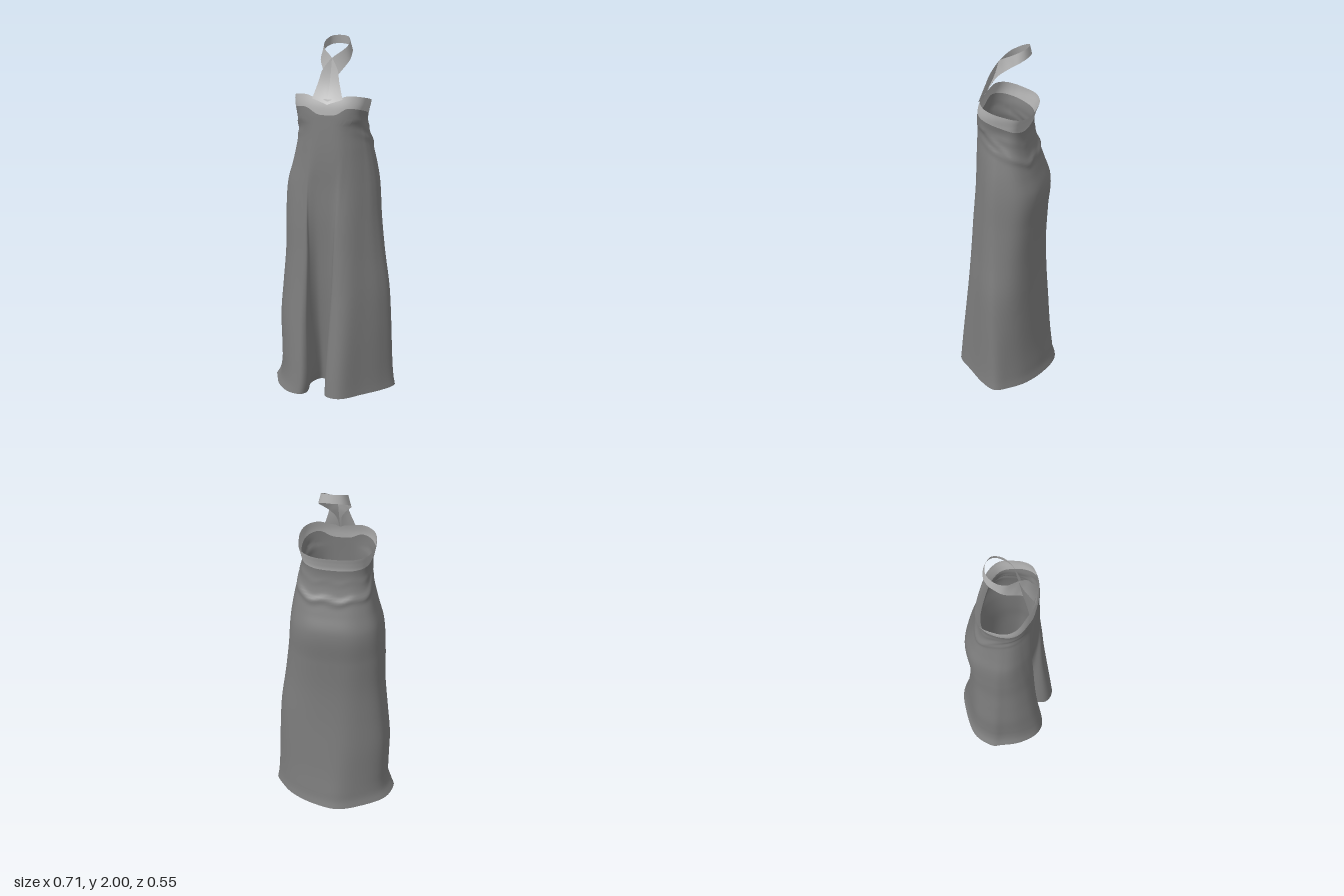
import * as THREE from 'three';

// y, right half-width, left half-width, front depth, back depth, pleat amount
const LEVELS = [
  [0, .355, .355, .272, .27, 1], [.04, .332, .348, .27, .258, .97], [.1, .319, .342, .267, .25, .93],
  [.2, .318, .337, .261, .237, .86], [.4, .32, .33, .247, .219, .7], [.6, .302, .318, .232, .204, .54],
  [.8, .284, .29, .219, .198, .41], [1, .28, .267, .206, .206, .28], [1.2, .265, .25, .185, .217, .15],
  [1.3, .237, .235, .176, .184, .08], [1.4, .212, .214, .168, .15, .03], [1.5, .194, .19, .162, .125, .01],
  [1.56, .198, .182, .158, .125, 0], [1.6, .206, .188, .156, .137, 0], [1.65, .215, .198, .15, .155, 0],
  [1.72, .215, .2, .13, .158, 0],
];
// Hem outline as x, z, with a deep pleat at the front
const HEM = [
  [-.355, -.01], [-.315, -.125], [-.19, -.217], [-.05, -.273], [.1, -.245], [.23, -.18], [.31, -.1], [.355, -.02],
  [.305, .07], [.21, .17], [.13, .252], [.07, .27], [.02, .25], [0, .2], [0, .1], [-.02, .04],
  [-.08, .02], [-.115, .1], [-.1, .19], [-.105, .24], [-.14, .265], [-.215, .242], [-.29, .16], [-.335, .06],
];
const profile = new THREE.CubicInterpolant(LEVELS.map(l => l[0]), LEVELS.flatMap(l => l.slice(1)), 5);
const closed = pts => new THREE.CatmullRomCurve3(pts, true, 'catmullrom', 0.5);
const power = (v, p) => Math.sign(v) * Math.abs(v) ** p;

// Unit outlines: a rounded oval for the body, and the pleated hem
const ovalCurve = closed(HEM.map((_, i) => {
  const a = i <= 7 ? Math.PI * (1 + i / 7) : Math.PI * (i - 7) / 17;
  return new THREE.Vector3(power(Math.cos(a), .72), 0, power(Math.sin(a), .72));
}));
const hemCurve = closed(HEM.map(([x, z]) => new THREE.Vector3(x / .355, 0, z / .27)));

// Heights of the seam under the band and of the neckline
const dip = o => o.z > 0 ? Math.exp(-((o.x / .45) ** 4)) : 0;
const seamY = o => 1.598 + .046 * o.z - .045 * dip(o);
const topY = o => 1.672 + .036 * o.z - .024 * dip(o);

// Point on the cloth at outline position u and height y
function clothPoint(u, y, o) {
  const h = hemCurve.getPoint(u);
  const [right, left, front, back, pleat] = profile.evaluate(y);
  const amount = Math.max(0, pleat);
  // The pleat closes up sideways sooner than it deepens
  const px = THREE.MathUtils.lerp(o.x, h.x, o.z > 0 ? amount ** .38 : amount);
  const pz = THREE.MathUtils.lerp(o.z, h.z, amount);
  // Gathered folds slanting from the bust down to the small of the back
  let swell = 0;
  if (o.z < .85) {
    for (const [base, slope, size] of [[1.49, .11, .03], [1.45, .07, .025], [1.53, .05, .015]]) {
      const line = base + slope * o.z + .008 * Math.sin(o.x * 9);
      swell += size * Math.exp(-(((y - line) / .018) ** 2));
    }
    swell *= Math.min(1, (.85 - o.z) * 2);
  }
  return [px * (px < 0 ? right : left) * (1 + swell), y, pz * (pz < 0 ? back : front) * (1 + swell)];
}

// Grid surface from rows of points
function surface(rows, cols, point, wrap) {
  const pos = [], index = [], stride = wrap ? cols : cols + 1;
  for (let j = 0; j <= rows; j++)
    for (let i = 0; i < stride; i++) pos.push(...point(i / cols, j / rows));
  for (let j = 0; j < rows; j++)
    for (let i = 0; i < cols; i++) {
      const n = (i + 1) % stride, a = j * stride, b = a + stride;
      index.push(a + i, b + i, a + n, a + n, b + i, b + n);
    }
  const g = new THREE.BufferGeometry();
  g.setAttribute('position', new THREE.Float32BufferAttribute(pos, 3));
  g.setIndex(index);
  g.computeVertexNormals();
  return g;
}

function tube(rows, low, high) {
  return surface(rows, 168, (u, v) => {
    const o = ovalCurve.getPoint(u);
    return clothPoint(u, THREE.MathUtils.lerp(low(o), high(o), v), o);
  }, true);
}

// Halter strap: lower and upper edges of one half, from the left base to the nape
const STRAP = [
  [[-.005, 1.655, .153], [.085, 1.685, .142]],
  [[-.012, 1.745, .105], [.058, 1.775, .112]],
  [[-.035, 1.80, .068], [.042, 1.835, .09]],
  [[-.058, 1.835, .04], [-.001, 1.895, .055]],
  [[-.082, 1.875, -.003], [-.053, 1.935, .013]],
  [[-.084, 1.905, -.045], [-.07, 1.96, -.032]],
  [[-.076, 1.928, -.083], [-.064, 1.98, -.073]],
  [[-.048, 1.945, -.112], [-.043, 1.993, -.102]],
  [[0, 1.95, -.123], [0, 1.997, -.113]],
];
function strapGeometry() {
  const edges = [0, 1].map(k => {
    const half = STRAP.map(r => new THREE.Vector3(...r[k]));
    const mirrored = half.slice(0, -1).reverse().map(p => new THREE.Vector3(-p.x, p.y, p.z));
    return new THREE.CatmullRomCurve3([...half, ...mirrored], false, 'catmullrom', 0.5);
  });
  return surface(3, 96, (u, v) =>
    edges[0].getPoint(u).lerp(edges[1].getPoint(u), v).toArray(), false);
}

export function createModel() {
  const model = new THREE.Group();
  model.name = 'halterDress';
  const cloth = new THREE.MeshStandardMaterial({ color: 0x7c7c7c, side: THREE.DoubleSide });
  cloth.name = 'dark grey cloth';
  const trim = new THREE.MeshStandardMaterial({ color: 0xb0b0b0, side: THREE.DoubleSide });
  trim.name = 'light grey trim';
  const add = (name, geometry, material) => {
    const mesh = new THREE.Mesh(geometry, material);
    mesh.name = name;
    model.add(mesh);
  };
  add('gown', tube(130, () => 0, seamY), cloth);
  add('bustBand', tube(10, seamY, topY), trim);
  add('halterStrap', strapGeometry(), trim);
  return model;
}
